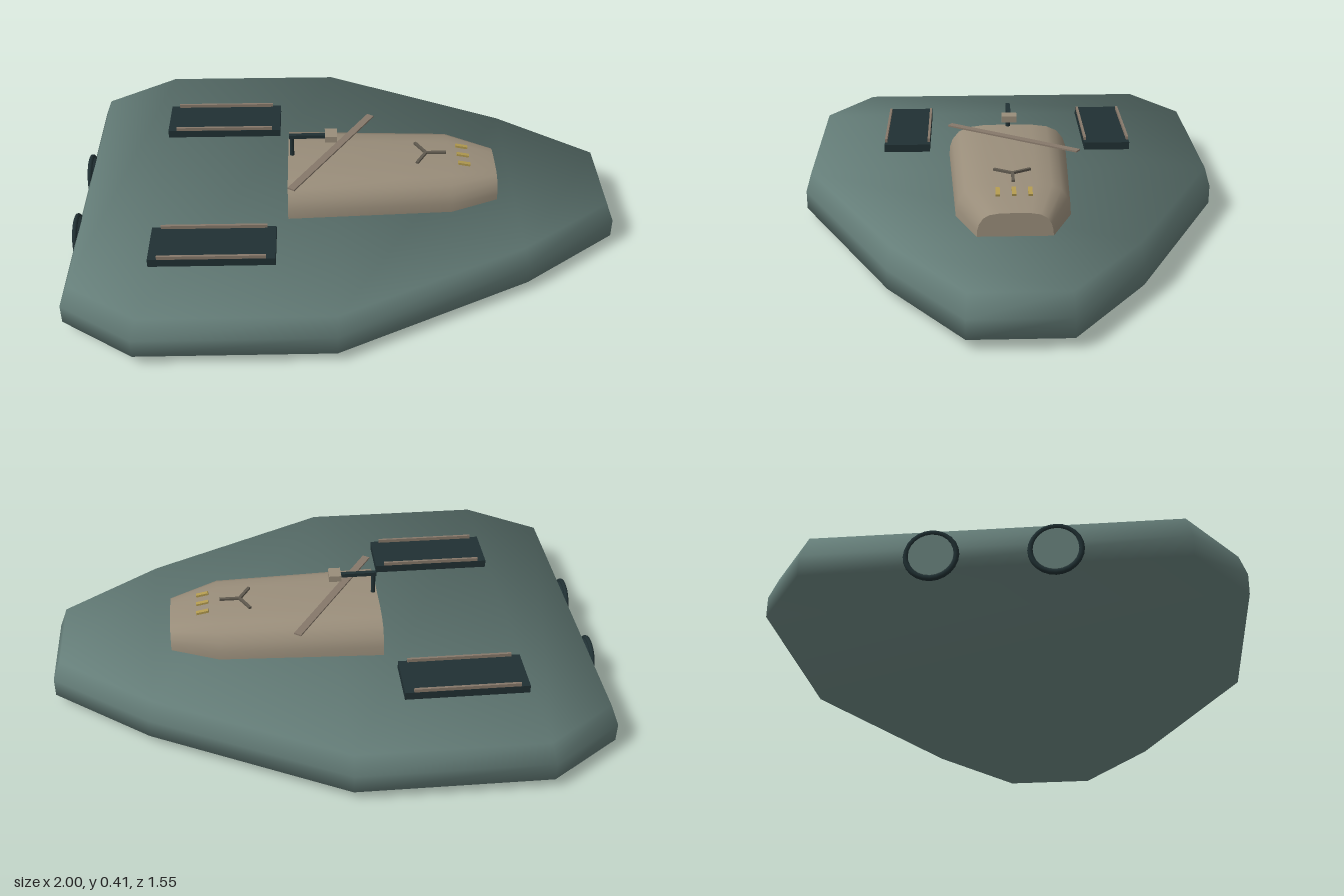
import * as THREE from 'three';
import { toCreasedNormals } from 'three/addons/utils/BufferGeometryUtils.js';

const paint = (name, color) => Object.assign(new THREE.MeshStandardMaterial({ color }), { name });

// Hull: mirrored outline in three rings, closed by strips, with soft rounded normals
function hullGeometry() {
  const half = [[-0.99, 0.6], [-0.73, 0.777], [-0.04, 0.777], [0.65, 0.43], [1, 0.17]];
  const outline = [...half, ...half.map(([x, z]) => [x, -z]).reverse()];
  const n = outline.length;
  const rings = [[0.04, 1, -0.6], [0.11, 1, 0.1], [0.187, 0.97, 0.6]]; // y, scale, normal lift
  const pos = [], nor = [], idx = [];
  const edgeNormal = (i) => {
    const a = outline[(i + n) % n], b = outline[(i + 1) % n];
    return new THREE.Vector3(-(b[1] - a[1]), 0, b[0] - a[0]).normalize();
  };
  for (const [y, s, lift] of rings) {
    outline.forEach(([x, z], i) => {
      const out = edgeNormal(i - 1).add(edgeNormal(i)).normalize().multiplyScalar(Math.sqrt(1 - lift * lift));
      pos.push(x * s, y, z * s);
      nor.push(out.x, lift, out.z);
    });
  }
  for (let r = 0; r < 2; r++) {
    for (let i = 0; i < n; i++) {
      const a = r * n + i, b = r * n + (i + 1) % n;
      idx.push(a, b, b + n, a, b + n, a + n);
    }
  }
  for (let i = 0; i < half.length - 1; i++) {
    const j = n - 1 - i, t = 2 * n;
    idx.push(i, j, j - 1, i, j - 1, i + 1);
    idx.push(t + i, t + j - 1, t + j, t + i, t + i + 1, t + j - 1);
  }
  const g = new THREE.BufferGeometry();
  g.setAttribute('position', new THREE.Float32BufferAttribute(pos, 3));
  g.setAttribute('normal', new THREE.Float32BufferAttribute(nor, 3));
  g.setIndex(idx);
  return g;
}

// Cabin: rounded arch lofted along x, closed at both ends
function cabinGeometry() {
  const side = [[1, 0], [0.99, 0.32], [0.94, 0.56], [0.83, 0.8], [0.66, 0.93], [0.4, 0.99]];
  const arch = [...side, [0, 1], ...side.map(([z, y]) => [-z, y]).reverse()];
  const stations = [[-0.21, 0.23, 0.312], [0.39, 0.202, 0.308], [0.565, 0.13, 0.272]];
  const base = 0.18, m = arch.length, pos = [], idx = [];
  for (const [x, w, top] of stations) {
    for (const [z, y] of arch) pos.push(x, base + y * (top - base), z * w);
  }
  for (let s = 0; s < 2; s++) {
    for (let i = 0; i < m - 1; i++) {
      const a = s * m + i, b = a + m;
      idx.push(a, b, b + 1, a, b + 1, a + 1);
    }
  }
  for (let i = 1; i < m - 1; i++) {
    idx.push(0, i, i + 1, 2 * m, 2 * m + i + 1, 2 * m + i);
  }
  const g = new THREE.BufferGeometry();
  g.setAttribute('position', new THREE.Float32BufferAttribute(pos, 3));
  g.setIndex(idx);
  return toCreasedNormals(g, 0.7);
}

export function createModel() {
  const hullPaint = paint('hull grey green', 0x667f7a);
  const cabinPaint = paint('cabin taupe', 0x998d7a);
  const darkPaint = paint('dark slate', 0x203033);
  const trimPaint = paint('trim brown', 0x86786a);
  const bladePaint = paint('blade grey brown', 0x5f594e);
  const goldPaint = paint('gold', 0xb39b50);

  const model = new THREE.Group();
  const add = (name, geometry, material, x = 0, y = 0, z = 0, parent = model) => {
    const mesh = new THREE.Mesh(geometry, material);
    mesh.name = name;
    mesh.position.set(x, y, z);
    parent.add(mesh);
    return mesh;
  };
  const box = (w, h, d) => new THREE.BoxGeometry(w, h, d);

  add('hull', hullGeometry(), hullPaint);
  add('cabin', cabinGeometry(), cabinPaint);

  // Deck hatches with edge rails, and stern thrusters
  for (const s of [1, -1]) {
    const hatch = new THREE.Group();
    hatch.name = 'deckHatch';
    model.add(hatch);
    add('hatchPlate', box(0.445, 0.034, 0.18), darkPaint, -0.472, 0.2, s * 0.398, hatch);
    for (const z of [0.313, 0.483]) {
      add('hatchRail', box(0.38, 0.014, 0.009), trimPaint, -0.472, 0.223, s * z, hatch);
    }

    const thruster = new THREE.Group();
    thruster.name = 'thruster';
    thruster.position.set(-0.975, 0.087, s * 0.19);
    model.add(thruster);
    const housing = add('thrusterHousing', new THREE.CylinderGeometry(0.08, 0.055, 0.05, 24), darkPaint, 0.01, 0, 0, thruster);
    housing.rotation.z = Math.PI / 2;
    const ring = add('thrusterRing', new THREE.TorusGeometry(0.078, 0.009, 8, 24), darkPaint, -0.015, 0, 0, thruster);
    ring.rotation.y = Math.PI / 2;
    const disc = add('thrusterDisc', new THREE.CylinderGeometry(0.07, 0.07, 0.006, 24), hullPaint, -0.018, 0, 0, thruster);
    disc.rotation.z = Math.PI / 2;
  }

  // Periscope: mast, arm and sensor head
  const periscope = new THREE.Group();
  periscope.name = 'periscope';
  model.add(periscope);
  add('mast', new THREE.CylinderGeometry(0.008, 0.008, 0.1, 10), darkPaint, -0.195, 0.35, 0, periscope);
  add('arm', box(0.14, 0.014, 0.016), darkPaint, -0.135, 0.395, 0, periscope);
  add('sensorHead', box(0.045, 0.024, 0.056), cabinPaint, -0.05, 0.396, 0, periscope);

  // Long flat blade lying across the cabin roof
  const blade = add('roofBlade', box(0.565, 0.006, 0.028), trimPaint, -0.045, 0.318, -0.012);
  blade.rotation.y = Math.atan2(0.47, 0.3);

  // Three-armed rotor on the roof
  const rotor = new THREE.Group();
  rotor.name = 'roofRotor';
  rotor.position.set(0.305, 0.313, 0);
  model.add(rotor);
  for (let i = 0; i < 3; i++) {
    const turn = i * Math.PI * 2 / 3;
    const arm = add('rotorArm', box(0.08, 0.008, 0.011), bladePaint, Math.cos(turn) * 0.035, 0, -Math.sin(turn) * 0.035, rotor);
    arm.rotation.y = turn;
  }

  // Gold markers on the sloping nose of the cabin
  for (const z of [-0.056, 0, 0.056]) {
    const marker = add('noseMarker', box(0.046, 0.009, 0.015), goldPaint, 0.444, 0.3, z);
    marker.rotation.z = -0.2;
  }
  return model;
}
